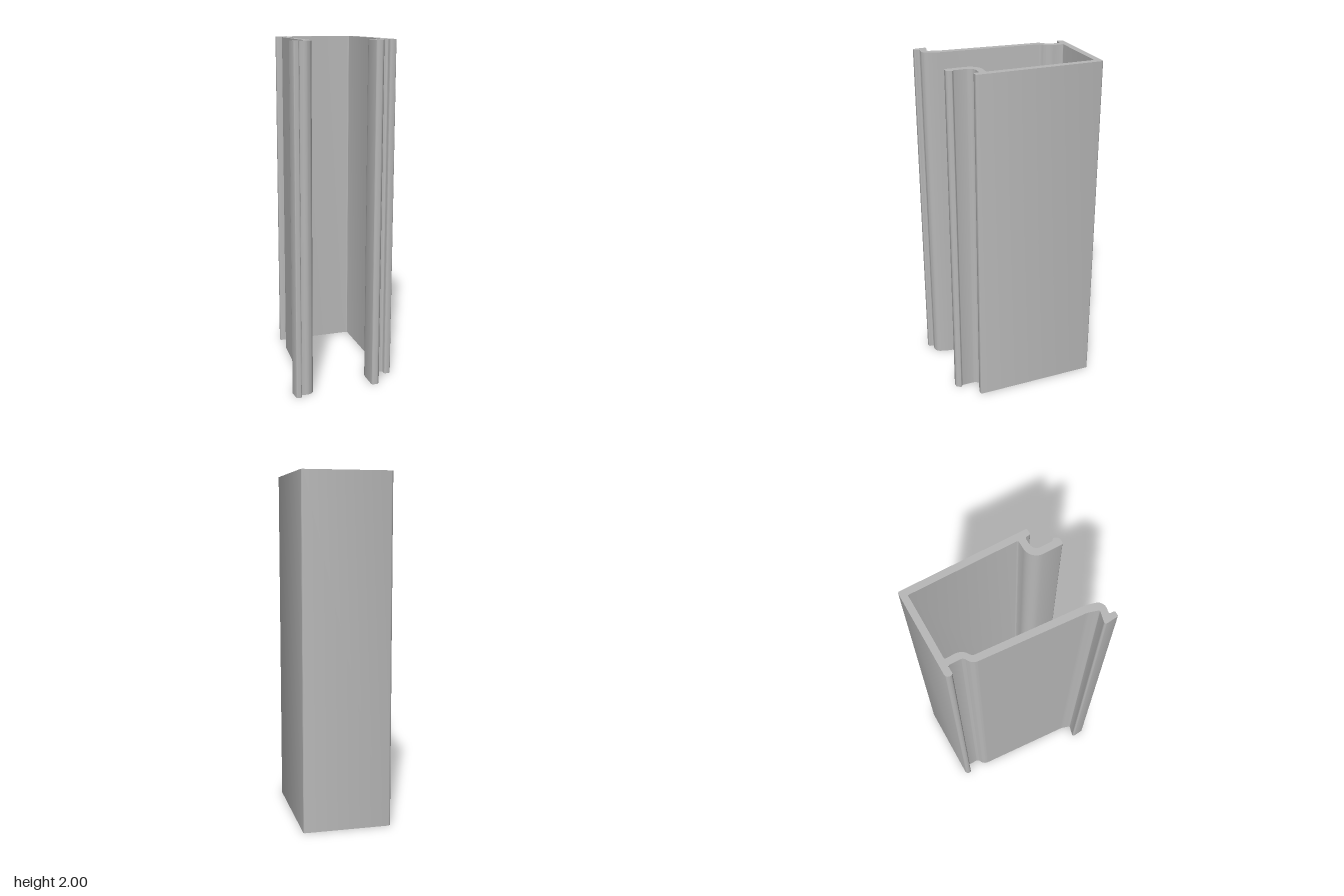
import * as THREE from 'three';
import { toCreasedNormals } from 'three/addons/utils/BufferGeometryUtils.js';

// Cross-section corners: [x, z, fillet radius]
const PROFILE = [
  // back plate and right wall
  [-0.192, -0.438, 0.022], [0.32, -0.438, 0.01], [0.32, 0.29, 0.009], [0.281, 0.29, 0.009],
  // hooked lip
  [0.281, 0.257, 0.012], [0.195, 0.257, 0.04], [0.195, 0.367, 0.004], [0.211, 0.378, 0.008],
  [0.195, 0.407, 0.015], [0.155, 0.407, 0.012], [0.155, 0.218, 0.073], [0.281, 0.218, 0.01],
  // inside of the channel and the jogged left wall
  [0.281, -0.4, 0.008], [-0.102, -0.4, 0.005], [-0.102, -0.305, 0.065], [-0.151, -0.277, 0.025],
  [-0.187, 0.325, 0.05], [-0.212, 0.42, 0.045],
  // left foot
  [-0.283, 0.404, 0.009], [-0.283, 0.437, 0.008], [-0.315, 0.437, 0.006], [-0.322, 0.356, 0.01],
  [-0.245, 0.376, 0.01], [-0.227, 0.315, 0.05],
  // outside of the left wall up to the back plate
  [-0.188, -0.293, 0.05], [-0.14, -0.32, 0.025], [-0.14, -0.4, 0.008], [-0.192, -0.4, 0.012],
];

// Replace every corner with a circular fillet
function filletedOutline(corners, steps = 8) {
  const pts = corners.map(([x, z]) => new THREE.Vector2(x, -z));
  const out = [];
  const n = pts.length;
  pts.forEach((p, i) => {
    const r = corners[i][2];
    const a = pts[(i + n - 1) % n].clone().sub(p).normalize();
    const b = pts[(i + 1) % n].clone().sub(p).normalize();
    const half = Math.acos(THREE.MathUtils.clamp(a.dot(b), -1, 1)) / 2;
    const centre = a.clone().add(b).normalize().multiplyScalar(r / Math.sin(half)).add(p);
    const start = a.multiplyScalar(r / Math.tan(half)).add(p).sub(centre);
    const end = b.multiplyScalar(r / Math.tan(half)).add(p).sub(centre);
    const sweep = Math.atan2(start.cross(end), start.dot(end));
    for (let k = 0; k <= steps; k++) {
      out.push(start.clone().rotateAround(new THREE.Vector2(), sweep * k / steps).add(centre));
    }
  });
  return out;
}

export function createModel() {
  const group = new THREE.Group();
  group.name = 'channelProfile';
  const metal = new THREE.MeshStandardMaterial({ color: 0xb8b8b8 });
  metal.name = 'grey metal';

  // One constant section extruded upward
  const shape = new THREE.Shape(filletedOutline(PROFILE));
  let geometry = new THREE.ExtrudeGeometry(shape, { depth: 2, bevelEnabled: false });
  geometry.rotateX(-Math.PI / 2);
  geometry = toCreasedNormals(geometry, Math.PI / 6);
  geometry.clearGroups();

  const extrusion = new THREE.Mesh(geometry, metal);
  extrusion.name = 'extrusion';
  group.add(extrusion);
  return group;
}
